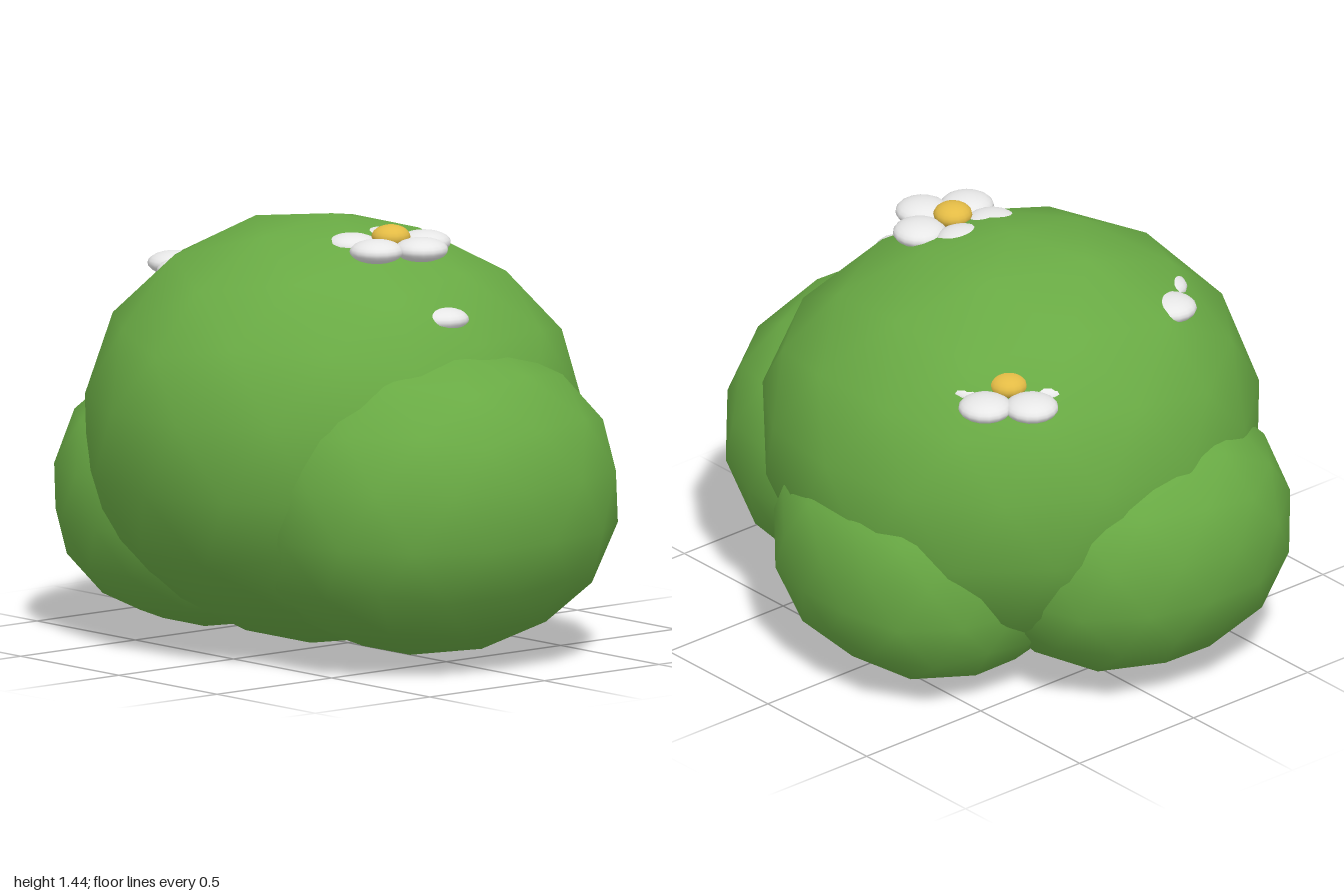
import * as THREE from 'three';
import { mergeVertices } from 'three/addons/utils/BufferGeometryUtils.js';

const leaf = new THREE.MeshStandardMaterial({ name: 'leaf green', color: 0x69aa44 });
const white = new THREE.MeshStandardMaterial({ name: 'petal white', color: 0xf0f0f0 });
const gold = new THREE.MeshStandardMaterial({ name: 'pollen gold', color: 0xe3bb45 });

// Foliage ball with a coarse outline and smooth normals.
// power above 2 makes it boxier; each bulge is [x, y, z, height]
function clump(name, center, radii, power, bulges) {
  let geo = new THREE.IcosahedronGeometry(1, 2);
  geo.deleteAttribute('uv');
  geo.deleteAttribute('normal');
  geo = mergeVertices(geo, 1e-3);
  geo.rotateZ(Math.atan(2 / (1 + Math.sqrt(5)))); // one corner points straight up
  const p = geo.attributes.position;
  const v = new THREE.Vector3();
  const dir = new THREE.Vector3();
  for (let i = 0; i < p.count; i++) {
    v.fromBufferAttribute(p, i);
    let size = 1.005;
    for (const [x, y, z, height] of bulges) {
      size += height * Math.max(0, dir.set(x, y, z).normalize().dot(v)) ** 10;
    }
    const norm = Math.abs(v.x) ** power + Math.abs(v.y) ** power + Math.abs(v.z) ** power;
    v.multiplyScalar(size / norm ** (1 / power));
    p.setXYZ(i, v.x * radii[0], v.y * radii[1], v.z * radii[2]);
  }
  geo.computeVertexNormals();
  const mesh = new THREE.Mesh(geo, leaf);
  mesh.name = name;
  mesh.position.set(...center);
  return mesh;
}

const ball = new THREE.SphereGeometry(1, 16, 12);

// Five flat petals around a domed centre; turn is the angle of the first petal
function flower(name, x, y, z, turn) {
  const group = new THREE.Group();
  group.name = name;
  for (let i = 0; i < 5; i++) {
    const a = THREE.MathUtils.degToRad(turn + i * 72);
    const petal = new THREE.Mesh(ball, white);
    petal.name = 'petal';
    petal.scale.set(0.09, 0.04, 0.09);
    petal.position.set(0.13 * Math.cos(a), 0, 0.13 * Math.sin(a));
    petal.rotation.y = -a;
    group.add(petal);
  }
  const eye = new THREE.Mesh(ball, gold);
  eye.name = 'flowerCentre';
  eye.scale.set(0.065, 0.04, 0.065);
  eye.position.y = 0.03;
  group.add(eye);
  group.position.set(x, y, z);
  return group;
}

export function createModel() {
  const bush = new THREE.Group();
  bush.name = 'floweringBush';

  // Foliage
  bush.add(
    clump('mainClump', [-0.02, 0.71, -0.06], [0.83, 0.705, 0.81], 2.03,
      [[0, 1, 0, 0.025], [-0.3, 0.75, -0.55, 0.06], [-0.85, 0.4, 0, 0.03], [0.6, 0.4, 0.6, 0.03]]),
    clump('frontClump', [-0.01, 0.55, 0.42], [0.64, 0.52, 0.58], 2.2,
      [[0, 1, 0.3, 0.02], [0, -0.6, 0.8, -0.03]]),
    clump('leftClump', [0.36, 0.435, -0.09], [0.48, 0.415, 0.49], 2.6,
      [[0.8, 0.55, 0.2, 0.03], [0.7, -0.7, 0, -0.03]]),
    clump('backClump', [-0.14, 0.48, -0.49], [0.55, 0.455, 0.51], 2.25,
      [[0, 0.7, -0.7, 0.04], [0, -0.6, -0.8, -0.02]]),
  );

  // Flowers, some half buried in the leaves
  bush.add(
    flower('topFlower', -0.01, 1.367, 0.23, 80),
    flower('backLeftFlower', 0.37, 1.14, -0.49, -85),
    flower('backRightFlower', -0.25, 1.245, -0.41, -115),
    flower('frontFlower', -0.02, 1.155, 0.372, 90),
  );
  return bush;
}
